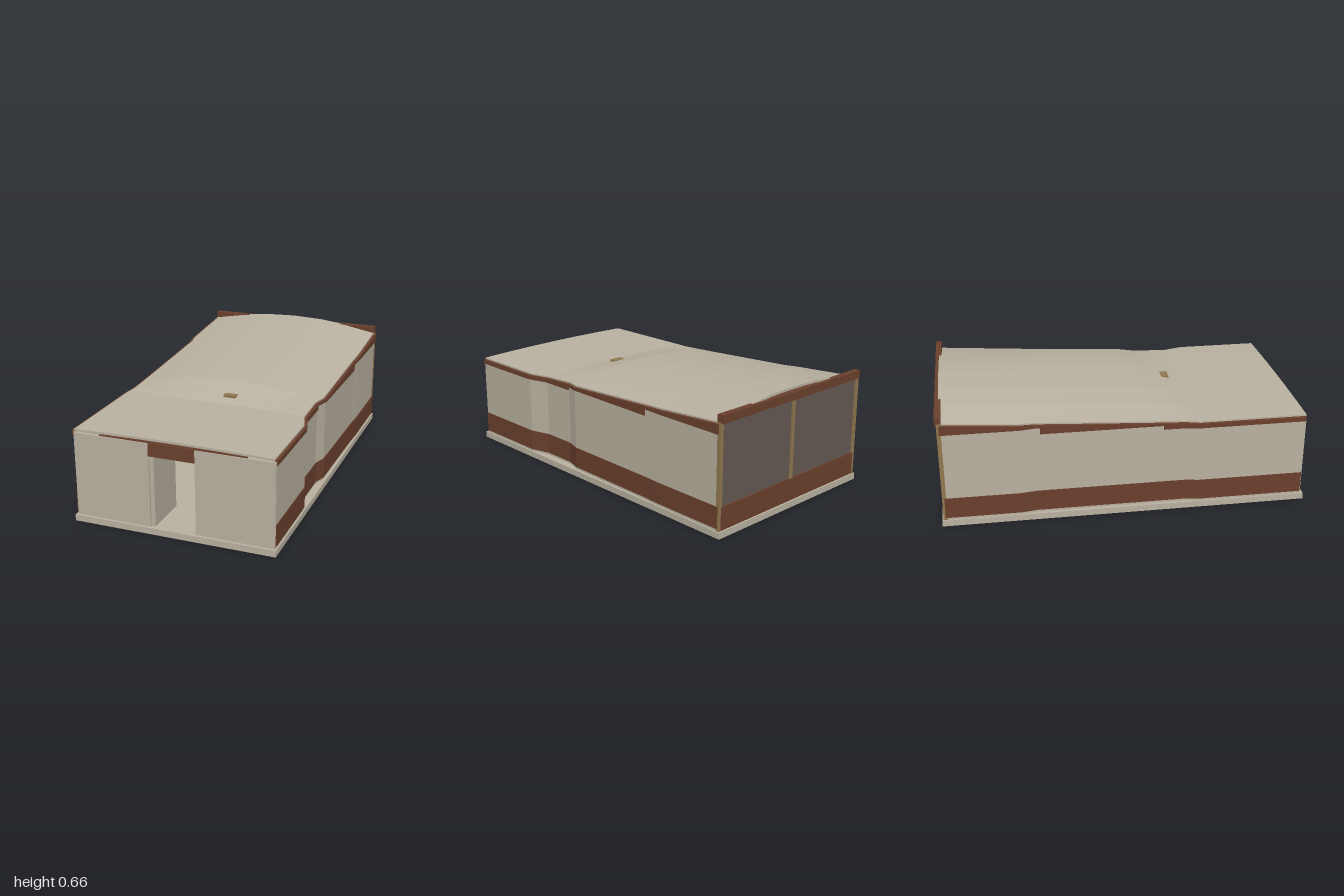
import * as THREE from 'three';

const mat = (name, color, extra = {}) => Object.assign(new THREE.MeshStandardMaterial({ color, ...extra }), { name });

// Piecewise linear lookup in [z, value] pairs, z falling
function along(table, z) {
  for (let i = 1; i < table.length; i++) {
    const [z0, v0] = table[i - 1], [z1, v1] = table[i];
    if (z >= z1) return v0 + (v1 - v0) * Math.min(1, Math.max(0, (z0 - z) / (z0 - z1)));
  }
  return table[table.length - 1][1];
}

// Solid through rings running from front to back; each ring is its lower edge
// from left to right, then its upper edge from right to left
function loft(rings) {
  const p = [], n = rings[0].length;
  const quad = (a, b, c, d) => p.push(...a, ...b, ...c, ...a, ...c, ...d);
  for (let i = 0; i + 1 < rings.length; i++)
    for (let j = 0; j < n; j++) {
      const k = (j + 1) % n;
      quad(rings[i][j], rings[i + 1][j], rings[i + 1][k], rings[i][k]);
    }
  const f = rings[0], b = rings[rings.length - 1];
  for (let j = 0; j < n / 2 - 1; j++) {
    quad(f[j], f[j + 1], f[n - 2 - j], f[n - 1 - j]);
    quad(b[j + 1], b[j], b[n - 1 - j], b[n - 2 - j]);
  }
  const g = new THREE.BufferGeometry();
  g.setAttribute('position', new THREE.Float32BufferAttribute(p, 3));
  g.computeVertexNormals();
  return g;
}

// Plan line of each side wall, and heights of the roof
const wallX = {
  1: [[0.98, 0.548], [0.52, 0.548], [0.4, 0.513], [0.2, 0.513], [0.12, 0.537], [-0.45, 0.543], [-0.57, 0.548], [-0.98, 0.548]],
  [-1]: [[0.98, 0.548], [0.4, 0.548], [0.32, 0.535], [-0.49, 0.535], [-0.57, 0.548], [-0.98, 0.548]],
};
const eaveY = [[0.985, 0.516], [0.4, 0.516], [0.12, 0.53], [-0.57, 0.57], [-0.98, 0.6]];
const crown = [[0.985, 0.009], [0.4, 0.009], [0.16, 0.048], [-0.2, 0.053], [-0.57, 0.06], [-0.98, 0.06]];
const STATIONS = [0.98, 0.52, 0.4, 0.32, 0.2, 0.16, 0.12, -0.2, -0.46, -0.49, -0.57, -0.98];

export function createModel() {
  const house = new THREE.Group();
  house.name = 'house';
  const plaster = mat('plaster', 0xbab2a1);
  const brown = mat('brown cladding', 0x6b402d);
  const wood = mat('light wood', 0x91784f);
  const glass = mat('tinted glass', 0x665a53, { side: THREE.DoubleSide });

  const add = (name, geo, m, parent = house) => {
    const mesh = new THREE.Mesh(geo, m);
    mesh.name = name;
    parent.add(mesh);
    return mesh;
  };
  // Box given by its limits
  const box = (name, m, x0, x1, y0, y1, z0, z1, parent) => {
    const b = add(name, new THREE.BoxGeometry(x1 - x0, y1 - y0, z1 - z0), m, parent);
    b.position.set((x0 + x1) / 2, (y0 + y1) / 2, (z0 + z1) / 2);
    return b;
  };
  // Strip that follows a side wall
  const strip = (name, m, s, z0, z1, out, thick, bottom, topFn) => {
    const zs = STATIONS.filter((z) => z <= z0 && z >= z1);
    add(name, loft(zs.map((z) => {
      const o = along(wallX[s], z) + out;
      const [l, r] = [s * o, s * (o - thick)].sort((a, b) => a - b);
      const t = topFn(z);
      return [[l, bottom, z], [r, bottom, z], [r, t, z], [l, t, z]];
    })), m);
  };

  box('floorSlab', plaster, -0.556, 0.556, 0, 0.035, -1, 1);

  // Side walls, lower cladding and the stepped fascia
  for (const s of [1, -1]) {
    const side = s > 0 ? 'left' : 'right';
    strip(side + 'Wall', plaster, s, 0.98, -0.98, 0, 0.018, 0.035, (z) => along(eaveY, z) - 0.014);
    strip(side + 'Cladding', brown, s, 0.98, -0.98, 0.004, 0.008, 0.048, () => 0.165);
    const steps = [[0.98, 0.2, 0.483], [0.2, -0.46, 0.505], [-0.46, -0.98, 0.54]];
    for (const [z0, z1, y] of steps)
      strip(side + 'Fascia', brown, s, z0, z1, 0.008, 0.024, y, (z) => along(eaveY, z) - 0.008);
  }

  // Faceted roof shell, crowned towards the back
  const roofRings = [0.985, ...STATIONS.slice(1)].map((z) => {
    const low = [], high = [];
    for (let i = 0; i <= 6; i++) {
      const t = i / 3 - 1;
      const x = t * (along(wallX[t < 0 ? -1 : 1], z) - 0.008);
      const y = along(eaveY, z) + along(crown, z) * (1 - t * t);
      low.push([x, y - 0.012, z]);
      high.unshift([x, y, z]);
    }
    return [...low, ...high];
  });
  add('roof', loft(roofRings), plaster);
  box('roofVent', wood, 0.018, 0.088, 0.528, 0.55, 0.295, 0.335);

  // Front wall with doorway, header and a door standing open
  for (const s of [1, -1]) {
    const [l, r] = s > 0 ? [0.125, 0.545] : [-0.545, -0.125];
    box('frontWall', plaster, l, r, 0.035, 0.497, 0.967, 0.985);
  }
  box('frontTopRail', brown, -0.4, 0.4, 0.49, 0.506, 0.967, 0.98);
  box('doorHeader', brown, -0.125, 0.125, 0.43, 0.503, 0.967, 0.99);
  box('openDoor', plaster, -0.125, -0.102, 0.035, 0.43, 0.72, 0.975);

  // Back wall: cladding, glazing, posts and top beam
  box('backCladding', brown, -0.545, 0.545, 0.035, 0.16, -0.99, -0.965);
  box('backGlass', glass, -0.54, 0.54, 0.16, 0.6, -0.982, -0.976);
  for (const x of [-0.538, 0, 0.538])
    box('windowPost', wood, x - 0.01, x + 0.01, 0.16, 0.6, -0.991, -0.965);
  for (const x of [-0.543, 0.543])
    box('cornerPost', wood, x - 0.006, x + 0.006, 0.035, 0.6, -0.992, -0.97);
  box('backBeam', brown, -0.545, 0.545, 0.594, 0.638, -1, -0.966);

  // Window bench inside the back wall
  box('benchBack', brown, -0.52, 0.52, 0.035, 0.178, -0.965, -0.94);
  box('benchLedge', brown, -0.52, 0.52, 0.178, 0.19, -0.965, -0.92);
  box('benchSeat', brown, -0.52, 0.52, 0.035, 0.085, -0.94, -0.8);

  // Table with splayed legs and stretchers
  const table = new THREE.Group();
  table.name = 'table';
  table.position.set(-0.025, 0, 0);
  house.add(table);
  box('tableTop', brown, -0.075, 0.072, 0.129, 0.138, -0.13, 0.13, table);
  for (const z of [-0.1, 0.1]) {
    for (const s of [1, -1]) {
      const leg = box('tableLeg', brown, s * 0.044 - 0.006, s * 0.044 + 0.006, 0.035, 0.13, z - 0.006, z + 0.006, table);
      leg.rotation.z = s * 0.1;
    }
    box('tableStretcher', brown, -0.046, 0.046, 0.06, 0.068, z - 0.004, z + 0.004, table);
  }
  return house;
}
